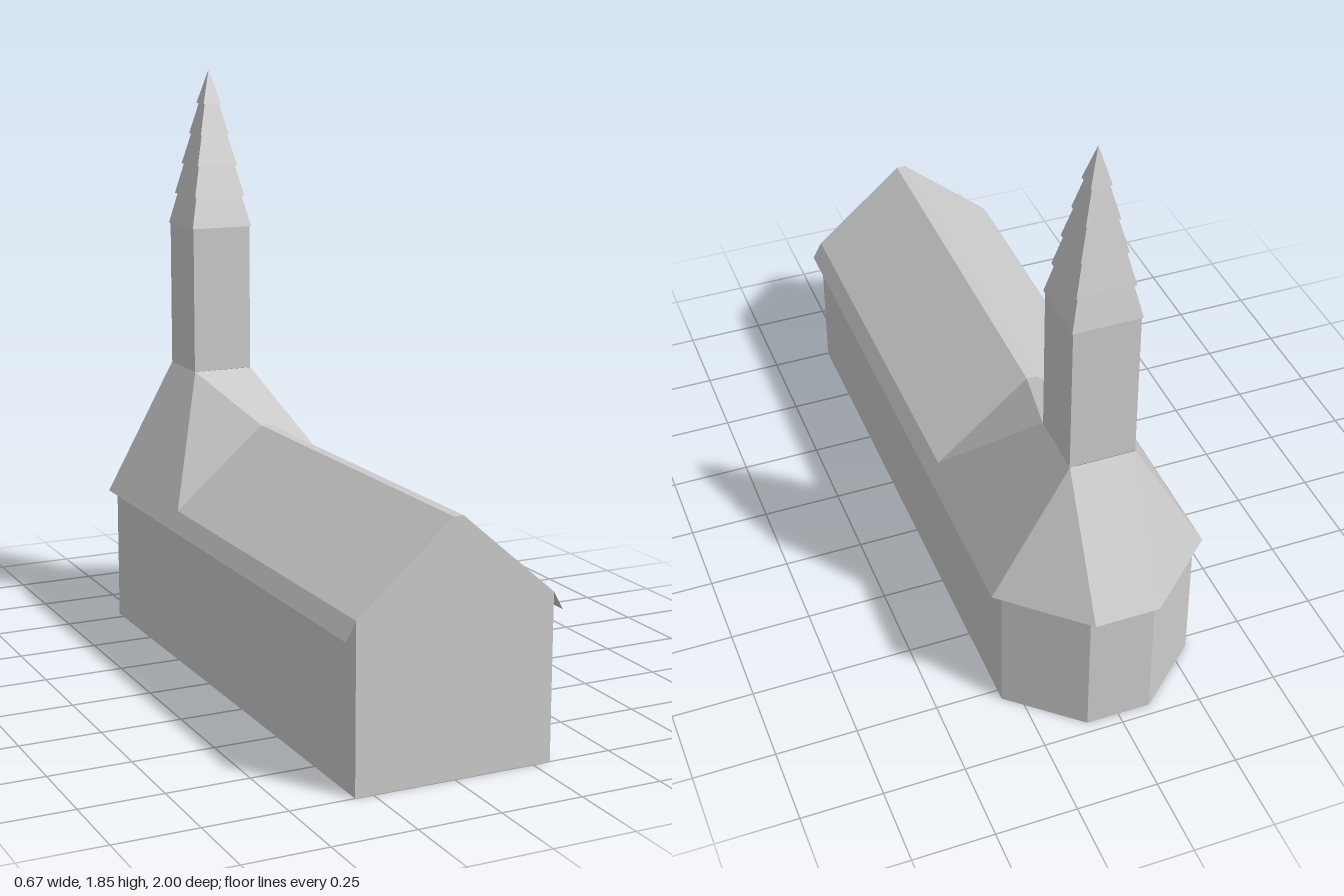
import * as THREE from 'three';

const material = new THREE.MeshStandardMaterial({
  color: 0xcccccc, flatShading: true, side: THREE.DoubleSide,
});

// Flat panels, each a list of [x, y, z] corners fanned from the first one
function panels(name, ...polygons) {
  const positions = [];
  for (const p of polygons) {
    for (let i = 1; i < p.length - 1; i++) positions.push(...p[0], ...p[i], ...p[i + 1]);
  }
  const geometry = new THREE.BufferGeometry();
  geometry.setAttribute('position', new THREE.Float32BufferAttribute(positions, 3));
  geometry.computeVertexNormals();
  const mesh = new THREE.Mesh(geometry, material);
  mesh.name = name;
  return mesh;
}

// Mirror a panel across x = 0, keeping it facing outwards
const mirror = (p) => p.map(([x, y, z]) => [-x, y, z]).reverse();
const bothSides = (p) => [p, mirror([...p.slice(1), p[0]])];

// Square frustum given by half widths, standing on y
function squareFrustum(name, top, bottom, y, height, z, open) {
  const geometry = new THREE.CylinderGeometry(top * Math.SQRT2, bottom * Math.SQRT2, height, 4, 1, open);
  geometry.rotateY(Math.PI / 4);
  const mesh = new THREE.Mesh(geometry, material);
  mesh.position.set(0, y + height / 2, z);
  mesh.name = name;
  return mesh;
}

export function createModel() {
  const church = new THREE.Group();
  church.name = 'church';

  const wallX = 0.305, wallY = 0.495, apseX = 0.1, apseZ = -0.965;
  const eaveX = 0.335, eaveY = 0.44, backZ = -0.785;
  const ridgeX = 0.015, ridgeY = 0.745, naveEnd = -0.24;
  const towerX = 0.1, towerY = 0.865, towerFront = -0.58, towerZ = -0.683;

  // Nave walls and gable, open underneath
  church.add(panels('naveWalls', ...bothSides(
    [[wallX, 0, 1], [wallX, 0, backZ], [wallX, wallY, backZ], [wallX, wallY, 1]])));
  church.add(panels('frontGable', [
    [-wallX, 0, 1], [wallX, 0, 1], [wallX, wallY, 1],
    [ridgeX, ridgeY, 1], [-ridgeX, ridgeY, 1], [-wallX, wallY, 1]]));

  // Three-sided apse
  church.add(panels('apseWalls',
    ...bothSides([[wallX, 0, backZ], [apseX, 0, apseZ], [apseX, wallY, apseZ], [wallX, wallY, backZ]]),
    [[apseX, 0, apseZ], [-apseX, 0, apseZ], [-apseX, wallY, apseZ], [apseX, wallY, apseZ]]));

  // Nave roof with a narrow flat ridge
  church.add(panels('naveRoof',
    ...bothSides([[wallX, wallY, 1], [wallX, wallY, naveEnd], [ridgeX, ridgeY, naveEnd], [ridgeX, ridgeY, 1]]),
    [[-ridgeX, ridgeY, 1], [ridgeX, ridgeY, 1], [ridgeX, ridgeY, naveEnd], [-ridgeX, ridgeY, naveEnd]]));

  // Steep eaves that sweep up to the tower
  church.add(panels('steepRoof', ...bothSides([
    [wallX, wallY, naveEnd], [wallX, wallY, 1], [eaveX, eaveY, 1],
    [eaveX, eaveY, backZ], [towerX, towerY, backZ], [towerX, towerY, towerFront]])));

  // Roof rising from the ridge to the tower front
  church.add(panels('towerSkirt',
    ...bothSides([[wallX, wallY, naveEnd], [towerX, towerY, towerFront], [ridgeX, ridgeY, naveEnd]]),
    [[-ridgeX, ridgeY, naveEnd], [ridgeX, ridgeY, naveEnd],
      [towerX, towerY, towerFront], [-towerX, towerY, towerFront]]));

  // Hipped apse roof
  church.add(panels('apseRoof',
    ...bothSides([[eaveX, eaveY, backZ], [apseX, eaveY, -1], [towerX, towerY, backZ]]),
    [[apseX, eaveY, -1], [-apseX, eaveY, -1], [-towerX, towerY, backZ], [towerX, towerY, backZ]]));

  // Tower shaft
  church.add(squareFrustum('tower', towerX, towerX, towerY, 0.48, towerZ, true));

  // Spire of overlapping tiers: [bottom, top] half widths
  const spire = new THREE.Group();
  spire.name = 'spire';
  [[0.104, 0.081], [0.088, 0.064], [0.07, 0.045], [0.05, 0.025], [0.031, 0]].forEach(([bottom, top], i) => {
    spire.add(squareFrustum('spireTier' + (i + 1), top, bottom, 1.34 + i * 0.1, i === 4 ? 0.11 : 0.1, towerZ, false));
  });
  church.add(spire);

  return church;
}
